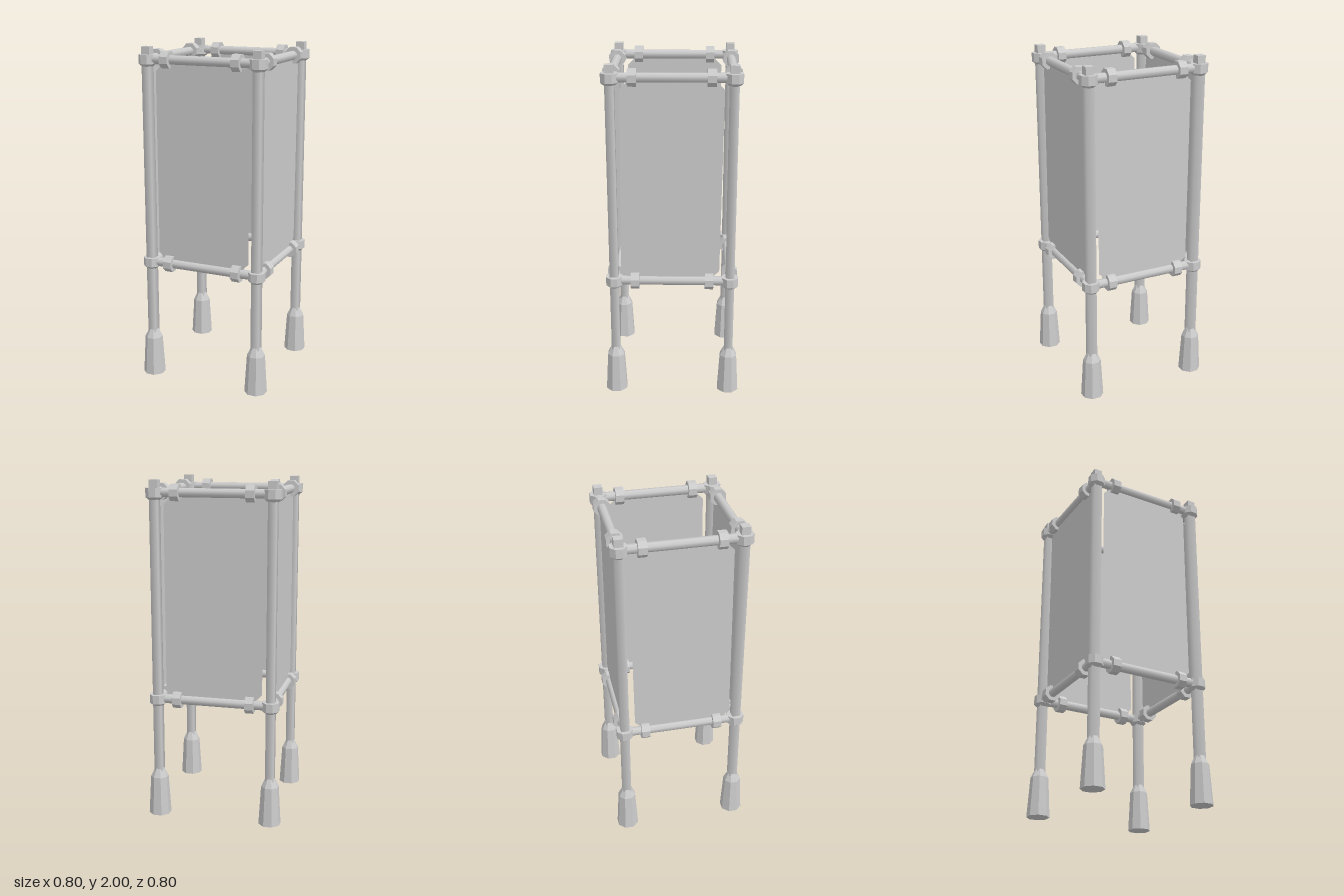
import * as THREE from 'three';

const OCT = Math.cos(Math.PI / 8);
const P = 0.34; // post distance from centre on x and z
const LEVELS = [0.725, 1.93];

const smooth = new THREE.MeshStandardMaterial({ color: 0xcccccc });
const flat = new THREE.MeshStandardMaterial({ color: 0xcccccc, flatShading: true });
const sheet = new THREE.MeshStandardMaterial({ color: 0xcccccc, side: THREE.DoubleSide });

function add(parent, name, geometry, material, x = 0, y = 0, z = 0) {
  const mesh = new THREE.Mesh(geometry, material);
  mesh.name = name;
  mesh.position.set(x, y, z);
  parent.add(mesh);
  return mesh;
}

// Upright octagonal solid from [flat-to-centre distance, y] pairs
function octagon(profile) {
  const points = profile.map(([r, y]) => new THREE.Vector2(r / OCT, y));
  return new THREE.LatheGeometry(points, 8, Math.PI / 8);
}

// Octagonal bar lying along x
function bar(apothem, length) {
  return new THREE.CylinderGeometry(apothem / OCT, apothem / OCT, length, 8)
    .rotateY(Math.PI / 8).rotateZ(Math.PI / 2);
}

// Sheet with clipped corners; skew shifts its lower edge sideways
function panelGeometry(skew) {
  const w = 0.288, h = 0.583, c = 0.045;
  const shape = new THREE.Shape([
    [-w + c, -h], [w - c, -h], [w, -h + c], [w, h - c],
    [w - c, h], [-w + c, h], [-w, h - c], [-w, -h + c],
  ].map(([x, y]) => new THREE.Vector2(x + (y < 0 ? skew : 0), y)));
  return new THREE.ShapeGeometry(shape);
}

export function createModel() {
  const model = new THREE.Group();
  model.name = 'panelledStand';

  const shaftGeo = new THREE.CylinderGeometry(0.025 * Math.SQRT2, 0.025 * Math.SQRT2, 1.67, 4)
    .rotateY(Math.PI / 4);
  const tipGeo = new THREE.BoxGeometry(0.05, 0.06, 0.05);
  const footGeo = octagon([[0, 0], [0.062, 0], [0.049, 0.235], [0.026, 0.285], [0, 0.285]]);
  const collarGeo = octagon([[0, -0.042], [0.03, -0.042], [0.047, -0.027],
    [0.047, 0.025], [0, 0.025]]);

  // Four corner posts with feet and collars
  for (const sx of [-1, 1]) for (const sz of [-1, 1]) {
    const post = new THREE.Group();
    post.name = 'cornerPost';
    post.position.set(sx * P, 0, sz * P);
    add(post, 'shaft', shaftGeo, smooth, 0, 1.105);
    add(post, 'postTip', tipGeo, smooth, 0, 1.97);
    add(post, 'foot', footGeo, flat);
    for (const y of LEVELS) add(post, 'collar', collarGeo, flat, 0, y);
    model.add(post);
  }

  // Four sides, each with two rails, clamps and a hanging panel
  const railGeo = bar(0.025, 0.62);
  const clampGeo = bar(0.047, 0.05);
  for (let i = 0; i < 4; i++) {
    const side = new THREE.Group();
    side.name = ['frontSide', 'leftSide', 'backSide', 'rightSide'][i];
    side.rotation.y = i * Math.PI / 2;
    for (const y of LEVELS) {
      add(side, 'rail', railGeo, smooth, 0, y, P);
      for (const s of [-1, 1]) add(side, 'clamp', clampGeo, flat, s * 0.217, y, P);
    }
    const skew = [0, -0.012, 0, 0.012][i];
    add(side, 'panel', panelGeometry(skew), sheet, 0, 1.325, P);
    model.add(side);
  }
  return model;
}
